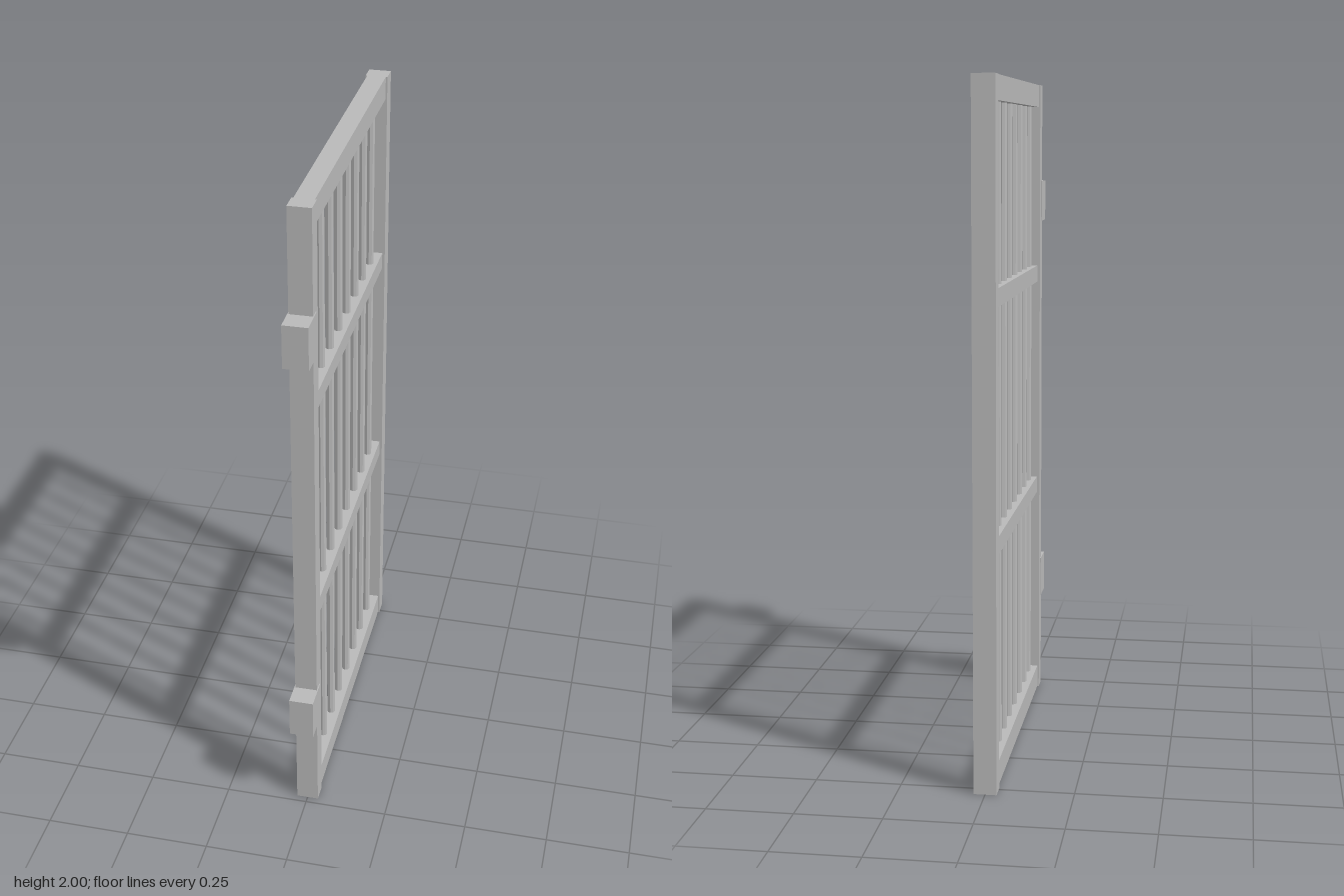
import * as THREE from 'three';

export function createModel() {
  const gate = new THREE.Group();
  gate.name = 'barredGate';

  const steel = new THREE.MeshStandardMaterial({ color: 0xb8b8b8, flatShading: true });
  steel.name = 'grey steel';

  // Box given by its full thickness in x and its y and z limits
  function addBox(name, thickness, y0, y1, z0, z1) {
    const mesh = new THREE.Mesh(new THREE.BoxGeometry(thickness, y1 - y0, z1 - z0), steel);
    mesh.position.set(0, (y0 + y1) / 2, (z0 + z1) / 2);
    mesh.name = name;
    gate.add(mesh);
  }

  const innerFront = 0.426, innerBack = -0.49;

  // Upright stiles
  addBox('hingeStile', 0.066, 0, 2, innerFront, 0.479);
  addBox('latchStile', 0.066, 0, 2, innerBack - 0.053, innerBack);

  // Top and bottom rails
  addBox('topRail', 0.056, 1.931, 2, innerBack, innerFront);
  addBox('bottomRail', 0.056, 0, 0.072, innerBack, innerFront);

  // Cross rails
  for (const y of [0.698, 1.398]) {
    addBox('crossRail', 0.05, y - 0.026, y + 0.026, innerBack, innerFront);
  }

  // Hinge blocks
  for (const y of [0.376, 1.632]) {
    addBox('hingeBlock', 0.072, y - 0.064, y + 0.064, 0.448, 0.543);
  }

  // Round vertical bars
  const barCount = 8, spacing = 0.1115, middle = (innerFront + innerBack) / 2 + 0.011;
  const barGeometry = new THREE.CylinderGeometry(0.0125, 0.0125, 1.88, 8);
  for (let i = 0; i < barCount; i++) {
    const bar = new THREE.Mesh(barGeometry, steel);
    bar.position.set(0, 1.0, middle + (i - (barCount - 1) / 2) * spacing);
    bar.name = 'bar';
    gate.add(bar);
  }

  return gate;
}
